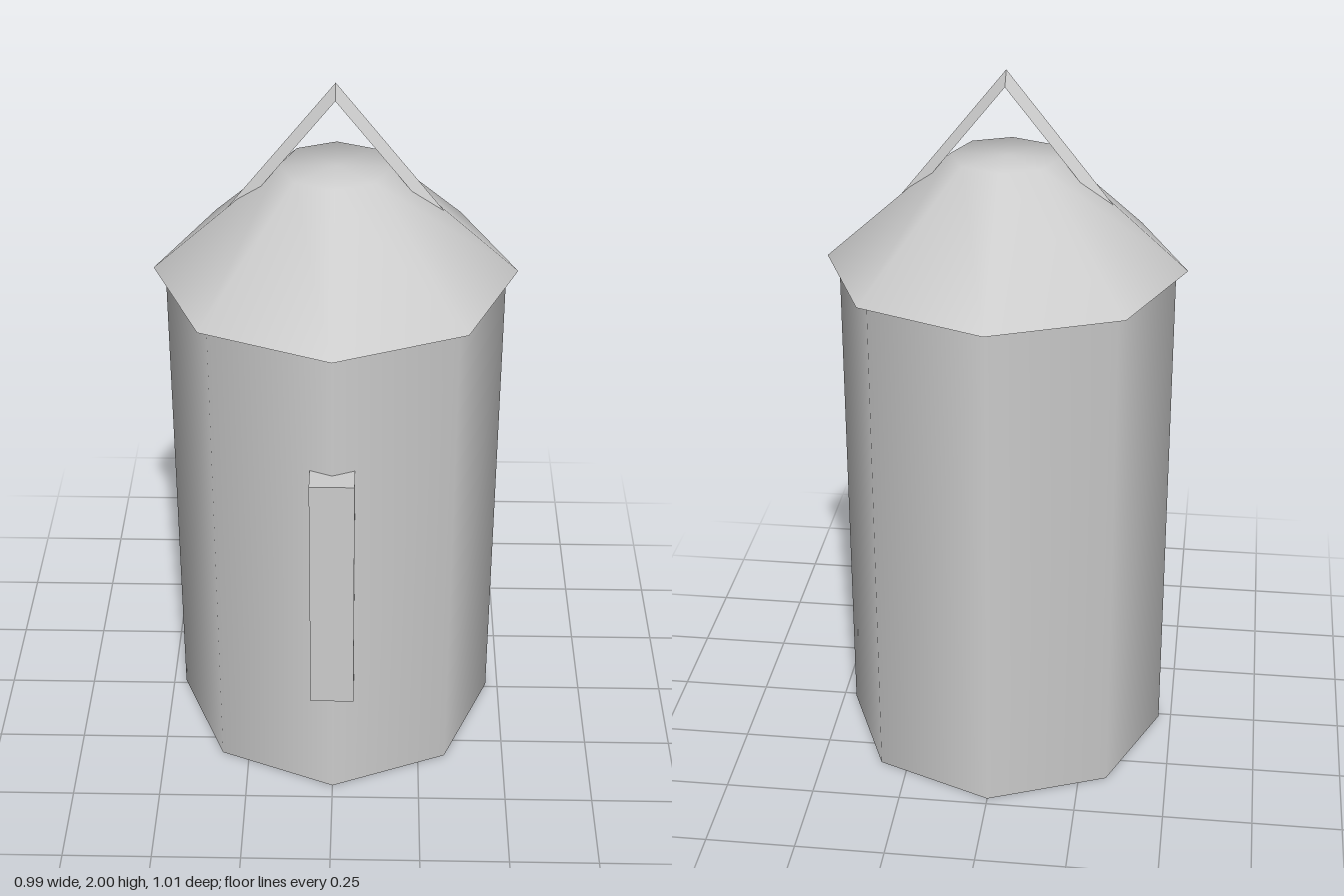
import * as THREE from 'three';

const CENTRE_Z = -0.012;
const SIDES = 8;

// Three-sided bar bent into an upside-down V, ridge outward
function bentBar() {
  const slope = 1.25, footY = 1.58, half = 0.027;
  const section = (side, y, drop) => [
    [side * (2 - y) / slope, y, 0],
    [side * (2 - drop - y) / slope, y, half],
    [side * (2 - drop - y) / slope, y, -half],
  ];
  const apex = [[0, 2, 0], [0, 1.96, half], [0, 1.96, -half]];
  const rings = [section(-1, footY, 0.04), apex, section(1, footY, 0.04)];
  const points = [];
  for (let i = 0; i < 2; i++) {
    for (let j = 0; j < 3; j++) {
      const k = (j + 1) % 3;
      const a = rings[i][j], b = rings[i][k], c = rings[i + 1][k], d = rings[i + 1][j];
      points.push(...a, ...b, ...c, ...a, ...c, ...d);
    }
  }
  const geometry = new THREE.BufferGeometry();
  geometry.setAttribute('position', new THREE.Float32BufferAttribute(points, 3));
  geometry.computeVertexNormals();
  return geometry;
}

export function createModel() {
  const group = new THREE.Group();
  group.name = 'lantern';
  const grey = new THREE.MeshStandardMaterial({ color: 0xcccccc });
  grey.name = 'light grey';

  const add = (name, geometry, x, y, z) => {
    const mesh = new THREE.Mesh(geometry, grey);
    mesh.name = name;
    mesh.position.set(x, y, z);
    group.add(mesh);
    return mesh;
  };

  // Eight-sided body with smooth walls
  add('body', new THREE.CylinderGeometry(0.464, 0.464, 1.455, SIDES), 0, 0.7275, CENTRE_Z);

  // Roof blends smoothly into its flat top
  const roofProfile = [[0.496, 1.455], [0.15, 1.765], [0, 1.765]]
    .map(([r, y]) => new THREE.Vector2(r, y));
  add('roof', new THREE.LatheGeometry(roofProfile, SIDES), 0, 0, CENTRE_Z);

  // Underside of the eaves
  const eaves = add('eaves', new THREE.CircleGeometry(0.496, SIDES), 0, 1.455, CENTRE_Z);
  eaves.rotation.x = Math.PI / 2;

  // Carrying handle on top
  const handle = add('topHandle', bentBar(), 0, 0, CENTRE_Z);
  handle.rotation.y = -0.02;

  // Upright bar on the front
  add('frontBar', new THREE.BoxGeometry(0.12, 0.725, 0.085), 0, 0.7275, 0.4625);

  return group;
}
